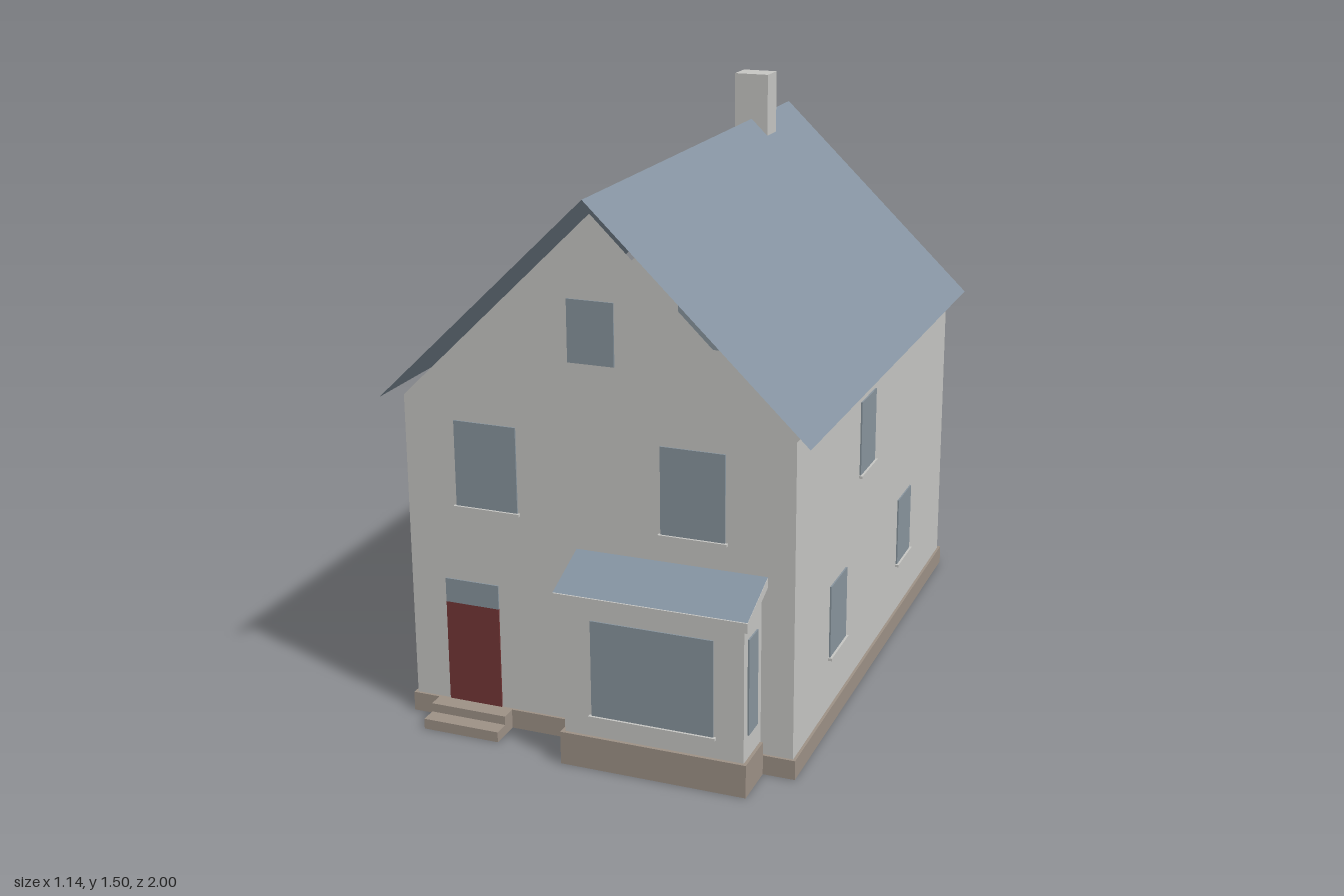
import * as THREE from 'three';

const mat = (name, color, side = THREE.FrontSide) => {
  const m = new THREE.MeshStandardMaterial({ color, side });
  m.name = name;
  return m;
};

export function createModel() {
  const house = new THREE.Group();
  house.name = 'house';
  const render = mat('wall render', 0xc6c6c3, THREE.DoubleSide);
  const slate = mat('roof slate', 0x8492a0, THREE.DoubleSide);
  const glass = mat('window glass', 0x88949d);
  const stone = mat('plinth stone', 0x9d9186);
  const red = mat('door red', 0x733636);

  const add = (name, geometry, material) => {
    const mesh = new THREE.Mesh(geometry, material);
    mesh.name = name;
    house.add(mesh);
    return mesh;
  };

  // Axis-aligned block given by its limits
  const block = (name, m, x0, x1, y0, y1, z0, z1) =>
    add(name, new THREE.BoxGeometry(x1 - x0, y1 - y0, z1 - z0), m)
      .position.set((x0 + x1) / 2, (y0 + y1) / 2, (z0 + z1) / 2);

  // Flat convex sheet through corner points, counter-clockwise from outside
  const sheet = (name, m, pts) => {
    const g = new THREE.BufferGeometry();
    g.setAttribute('position', new THREE.Float32BufferAttribute(pts.flat(), 3));
    const index = [];
    for (let i = 1; i < pts.length - 1; i++) index.push(0, i, i + 1);
    g.setIndex(index);
    g.computeVertexNormals();
    return add(name, g, m);
  };

  // Thin plate on a wall; face is 'z' or 'x', sign is the outward direction
  const plate = (name, m, face, sign, plane, u0, u1, y0, y1, depth = 0.004) => {
    const d = [plane, plane + sign * depth].sort((a, b) => a - b);
    if (face === 'z') block(name, m, u0, u1, y0, y1, d[0], d[1]);
    else block(name, m, d[0], d[1], y0, y1, u0, u1);
  };
  const pane = (face, sign, plane, u0, u1, y0, y1, sill = true) => {
    plate('window', glass, face, sign, plane, u0, u1, y0, y1);
    if (sill) plate('windowSill', render, face, sign, plane, u0 - 0.006, u1 + 0.006, y0 - 0.007, y0, 0.01);
  };

  // Main walls
  const L = -0.485, R = 0.525, F = 0.86, B = -0.54, mid = 0.02, eave = 0.85;
  sheet('frontGable', render, [[L, 0, F], [R, 0, F], [R, eave, F], [mid, 1.34, F], [L, eave, F]]);
  sheet('backGable', render, [[R, 0, B], [L, 0, B], [L, eave, B], [mid, 1.34, B], [R, eave, B]]);
  sheet('leftWall', render, [[R, 0, F], [R, 0, B], [R, eave, B], [R, eave, F]]);
  sheet('rightWall', render, [[L, 0, B], [L, 0, F], [L, eave, F], [L, eave, B]]);

  // Main roof: two thin slopes
  const rf = 0.9, rb = -0.58, ridge = 1.38;
  sheet('leftRoofSlope', slate, [[0.57, eave, rf], [0.57, eave, rb], [mid, ridge, rb], [mid, ridge, rf]]);
  sheet('rightRoofSlope', slate, [[-0.53, eave, rb], [-0.53, eave, rf], [mid, ridge, rf], [mid, ridge, rb]]);
  block('chimney', render, -0.03, 0.067, 1.28, 1.505, -0.325, -0.25);

  // Lean-to projection: three walls, a sloping slab and a slate covering
  const leanTo = (name, x0, x1, zIn, zOut, yIn, yOut, roof) => {
    sheet(name + 'EndWall', render, [[x0, 0, zOut], [x1, 0, zOut], [x1, yOut, zOut], [x0, yOut, zOut]]);
    for (const x of [x0, x1])
      sheet(name + 'SideWall', render, [[x, 0, zIn], [x, 0, zOut], [x, yOut, zOut], [x, yIn, zIn]]);
    const { a, b, zEdge, yTop, yEdge, t } = roof;
    const profile = new THREE.Shape([[zIn, yTop], [zEdge, yEdge], [zEdge, yEdge - t], [zIn, yTop - t]]
      .map(([z, y]) => new THREE.Vector2(z, y)));
    const slab = new THREE.ExtrudeGeometry(profile, { depth: b - a, bevelEnabled: false });
    slab.rotateY(-Math.PI / 2).translate(b, 0, 0);
    add(name + 'RoofSlab', slab, render);
    const e = 0.002;
    const pts = [[a, yTop + e, zIn], [a, yEdge + e, zEdge], [b, yEdge + e, zEdge], [b, yTop + e, zIn]];
    sheet(name + 'RoofSlates', slate, zEdge > zIn ? pts : pts.reverse());
  };
  leanTo('annex', L, 0.1, B, -0.955, 0.525, 0.412,
    { a: -0.51, b: 0.125, zEdge: -1, yTop: 0.555, yEdge: 0.428, t: 0.03 });
  leanTo('bay', -0.015, 0.443, F, 0.98, 0.48, 0.435,
    { a: -0.03, b: 0.458, zEdge: 1, yTop: 0.508, yEdge: 0.452, t: 0.025 });

  // Plinth strips just outside the walls: x0, x1, z0, z1, height
  const g = 0.001, p = 0.008;
  for (const [x0, x1, z0, z1, h] of [
    [L - p, R + p, F + g, F + p, 0.05],
    [L - p, R + p, B - p, B - g, 0.05],
    [R + g, R + p, B - g, F + g, 0.05],
    [L - p, L - g, B - g, F + g, 0.05],
    [L - p, 0.108, -0.965, -0.956, 0.05],
    [L - p, L - g, -0.956, B - p, 0.05],
    [0.1 + g, 0.108, -0.956, B - p, 0.05],
    [-0.024, 0.452, 0.981, 0.99, 0.085],
    [-0.024, -0.016, F + p, 0.981, 0.085],
    [0.444, 0.452, F + p, 0.981, 0.085],
  ]) block('plinth', stone, x0, x1, 0, h, z0, z1);

  // Front door with transom, and its steps
  plate('frontDoor', red, 'z', 1, F, -0.39, -0.245, 0.05, 0.317);
  plate('transom', glass, 'z', 1, F, -0.39, -0.245, 0.317, 0.38);
  block('frontLowerStep', stone, -0.42, -0.215, 0, 0.027, F + p, 0.95);
  block('frontUpperStep', stone, -0.42, -0.215, 0.027, 0.05, F + p, 0.908);

  // Annex side door and its steps
  plate('sideDoor', red, 'x', -1, L, -0.79, -0.655, 0.05, 0.365);
  block('sideLowerStep', stone, -0.573, L - p, 0, 0.027, -0.84, -0.64);
  block('sideUpperStep', stone, -0.53, L - p, 0.027, 0.05, -0.84, -0.64);

  // Front windows
  pane('z', 1, F, -0.35, -0.185, 0.58, 0.8);
  pane('z', 1, F, 0.19, 0.353, 0.58, 0.8);
  pane('z', 1, F, -0.042, 0.077, 0.98, 1.135, false);

  // Bay windows
  pane('z', 1, 0.98, 0.057, 0.368, 0.14, 0.387);
  pane('x', 1, 0.443, 0.892, 0.955, 0.145, 0.39, false);
  pane('x', -1, -0.015, 0.892, 0.955, 0.145, 0.39, false);

  // Side windows
  for (const [z0, z1, y0, y1] of [[0.21, 0.34, 0.59, 0.785], [0.445, 0.58, 0.19, 0.38], [-0.18, -0.05, 0.19, 0.38]])
    pane('x', 1, R, z0, z1, y0, y1);
  for (const [z0, z1, y0, y1] of [[-0.12, 0.01, 0.6, 0.8], [0.415, 0.545, 0.6, 0.8], [-0.12, 0.01, 0.19, 0.39]])
    pane('x', -1, L, z0, z1, y0, y1);

  // Back windows and the annex glazed door
  pane('z', -1, B, -0.035, 0.075, 1.005, 1.13, false);
  pane('z', -1, B, -0.32, -0.15, 0.6, 0.81);
  pane('z', -1, -0.955, -0.41, -0.273, 0.2, 0.365);
  plate('glazedDoor', glass, 'z', -1, -0.955, -0.16, 0.038, 0.055, 0.37);

  return house;
}
